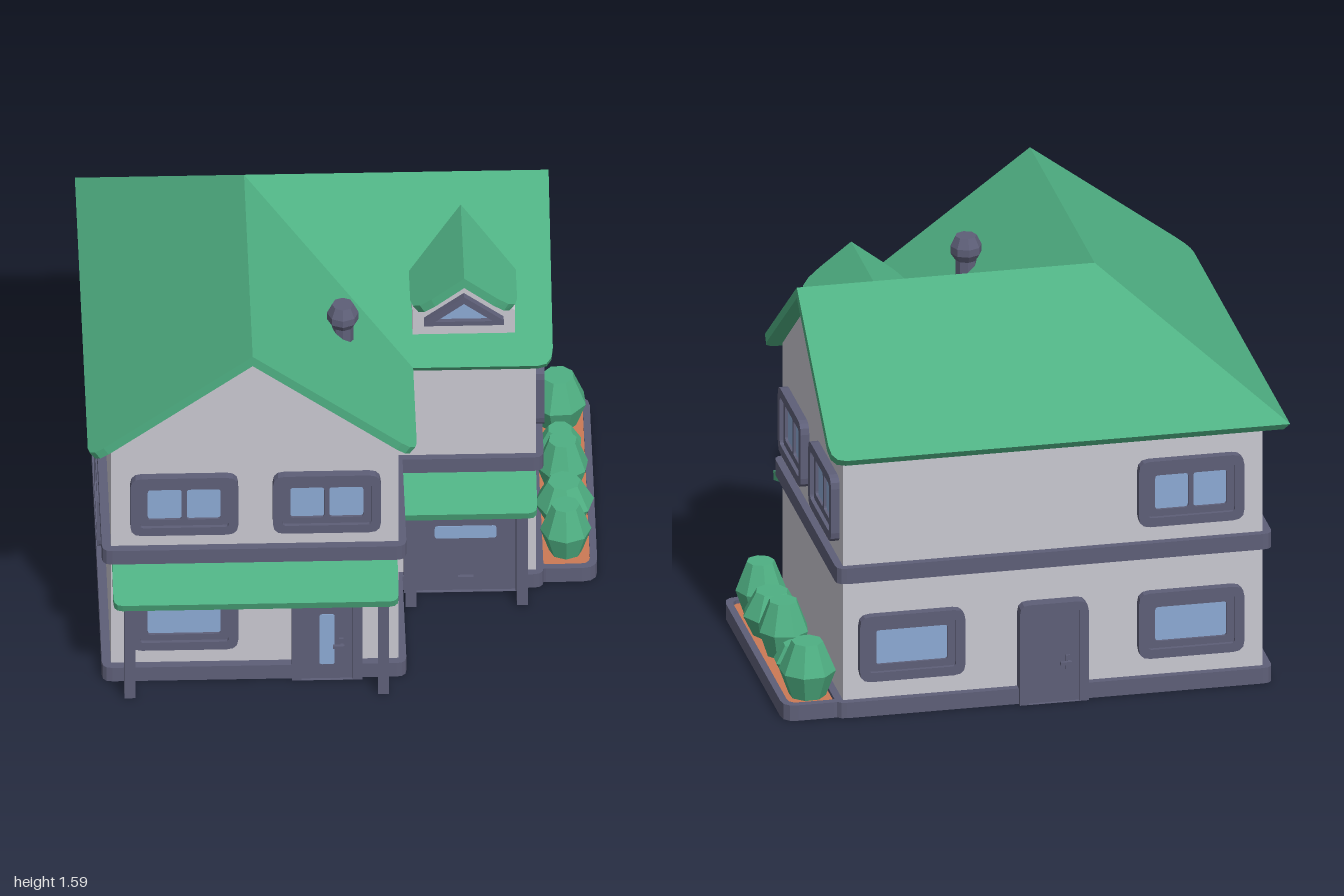
import * as THREE from 'three';

const mat = (name, color) => Object.assign(new THREE.MeshStandardMaterial({ color }), { name });

// Round the corners of a polygon given as [x, y, radius]
function rounded(pts, steps = 3) {
  const out = [];
  pts.forEach(([x, y, r = 0], i) => {
    const c = new THREE.Vector2(x, y);
    if (!r) return out.push(c);
    const toward = (q) => new THREE.Vector2(q[0], q[1]).sub(c).setLength(r).add(c);
    const a = toward(pts[(i + pts.length - 1) % pts.length]);
    const b = toward(pts[(i + 1) % pts.length]);
    out.push(...new THREE.QuadraticBezierCurve(a, c, b).getPoints(steps));
  });
  return out;
}

const rect = (x0, y0, x1, y1, r = 0, top = r) => [[x0, y0, r], [x1, y0, r], [x1, y1, top], [x0, y1, top]];
const box = (w, h, r = 0) => rect(-w / 2, -h / 2, w / 2, h / 2, r);

// Flat plate facing +z
function plate(pts, depth, holes = []) {
  const shape = new THREE.Shape(rounded(pts));
  shape.holes = holes.map((h) => new THREE.Path(rounded(h)));
  return new THREE.ExtrudeGeometry(shape, { depth, bevelEnabled: false });
}

// Horizontal slab with a plan outline in [x, z, radius]
const floorSlab = (pts, y0, y1, holes) =>
  plate(pts, y1 - y0, holes).rotateX(Math.PI / 2).translate(0, y1, 0);

// Sloped roof panel: plan outline falls away from the ridge along dir
function roofPanel(plan, dir, ridge, yRidge, slope, t = 0.036) {
  let pts = rounded(plan);
  if (!THREE.ShapeUtils.isClockWise(pts)) pts = pts.reverse();
  const len = Math.hypot(1, slope), k = t * slope / len;
  const drop = (p) => (p.x - ridge[0]) * dir[0] + (p.y - ridge[1]) * dir[1];
  const dMax = Math.max(...pts.map(drop));
  const top = pts.map((p) => [p.x, yRidge - slope * drop(p), p.y]);
  const bottom = pts.map((p) => {
    const d = drop(p), s = k * d / dMax, dx = p.x - ridge[0], dz = p.y - ridge[1];
    const mitre = Math.abs(Math.abs(dx) - Math.abs(dz)) < 0.002;
    return [
      p.x - s * (mitre ? Math.sign(dx) : dir[0]),
      yRidge - slope * (d - s) - t * len,
      p.y - s * (mitre ? Math.sign(dz) : dir[1]),
    ];
  });
  const v = [], n = pts.length;
  for (let i = 1; i < n - 1; i++) {
    v.push(...top[0], ...top[i], ...top[i + 1], ...bottom[0], ...bottom[i + 1], ...bottom[i]);
  }
  for (let i = 0; i < n; i++) {
    const j = (i + 1) % n;
    v.push(...top[i], ...bottom[i], ...top[j], ...top[j], ...bottom[i], ...bottom[j]);
  }
  const g = new THREE.BufferGeometry();
  g.setAttribute('position', new THREE.Float32BufferAttribute(v, 3));
  g.computeVertexNormals();
  return g;
}

function turned(profile, sides) {
  const g = new THREE.LatheGeometry(profile.map((p) => new THREE.Vector2(...p)), sides).toNonIndexed();
  g.computeVertexNormals();
  return g;
}

export function createModel() {
  const house = new THREE.Group();
  house.name = 'house';
  const wall = mat('wall plaster', 0xc9c8d1), trim = mat('dark trim', 0x5e5f78);
  const green = mat('roof green', 0x4fb083), glass = mat('window glass', 0x8caad4);
  const soil = mat('soil', 0xcc7a55);

  const add = (parent, name, geometry, material, x = 0, y = 0, z = 0) => {
    const m = new THREE.Mesh(geometry, material);
    m.name = name;
    m.position.set(x, y, z);
    parent.add(m);
    return m;
  };

  // Walls: two gabled wings and the back corner
  add(house, 'frontWing', plate([[-0.91, 0.03], [0.21, 0.03], [0.21, 1.11], [-0.36, 1.54], [-0.91, 1.125]], 1.12), wall, 0, 0, -0.35);
  const side = plate([[-0.21, 0.03], [0.9, 0.03], [0.9, 1.125], [0.35, 1.54], [-0.21, 1.118]], 1.12).rotateY(Math.PI / 2);
  add(house, 'sideWing', side, wall, -0.36, 0, 0);
  add(house, 'backCorner', new THREE.BoxGeometry(0.56, 1.09, 0.56), wall, -0.63, 0.575, -0.62);

  // Plinth and storey band share one L outline
  const ell = [[-0.945, -0.93, 0.04], [0.79, -0.93, 0.04], [0.79, 0.24, 0.04], [0.24, 0.24], [0.24, 0.805, 0.04], [-0.945, 0.805, 0.04]];
  add(house, 'plinth', floorSlab(ell, 0, 0.065), trim);
  add(house, 'storeyBand', floorSlab(ell, 0.565, 0.63), trim);

  // Main roof: four panels meeting at two ridges, a hip and a valley
  const R = [-0.36, -0.35], c = 0.06;
  const panels = [
    [[[-1, -0.99], [-1, 0.84, c], [-0.36, 0.84], R], [-1, 0]],
    [[[-1, -0.99], [0.825, -0.99, c], [0.825, -0.35], R], [0, -1]],
    [[R, [-0.36, 0.84], [0.28, 0.84, c], [0.28, 0.29]], [1, 0]],
    [[R, [0.28, 0.29], [0.825, 0.29, c], [0.825, -0.35]], [0, 1]],
  ];
  panels.forEach(([plan, dir]) => add(house, 'roofPanel', roofPanel(plan, dir, R, 1.585, 0.742), green));

  // Dormer
  const dormer = new THREE.Group();
  dormer.name = 'dormer';
  house.add(dormer);
  for (const s of [-1, 1]) {
    const plan = [[0.48, -0.24], [0.48, 0.245], [0.48 + s * 0.208, 0.245, 0.08], [0.48 + s * 0.208, -0.032]];
    add(dormer, 'dormerRoof', roofPanel(plan, [s, 0], [0.48, -0.24], 1.505, 0.77), green);
  }
  add(dormer, 'dormerWall', plate([[-0.2, 1.15], [0.2, 1.15], [0.2, 1.3], [0, 1.455], [-0.2, 1.3]], 0.38), wall, 0.48, 0, -0.2);
  const tri = (w, y0, y1, r = 0) => [[-w, y0, r], [w, y0, r], [0, y1, r]];
  add(dormer, 'dormerFrame', plate([[-0.155, 1.25], [0.155, 1.25], [0.155, 1.272], [0, 1.388], [-0.155, 1.272]], 0.03, [tri(0.112, 1.27, 1.355)]), trim, 0.48, 0, 0.178);
  add(dormer, 'dormerGlass', plate(tri(0.115, 1.268, 1.357), 0.008), glass, 0.48, 0, 0.18);

  // Chimney
  add(house, 'chimney', turned([[0.042, 1.25], [0.042, 1.355], [0.062, 1.385], [0.062, 1.415], [0.042, 1.455], [0, 1.455]], 8), trim, 0.005, 0, 0.33);

  // Porches
  const porch = (x0, x1, z, posts, postZ) => {
    const plan = [[x0, z - 0.01], [x1, z - 0.01], [x1, z + 0.21, 0.035], [x0, z + 0.21, 0.035]];
    add(house, 'porchRoof', roofPanel(plan, [0, 1], [9, z], 0.565, 0.34), green);
    posts.forEach((x) => add(house, 'porchPost', new THREE.BoxGeometry(0.042, 0.48, 0.045), trim, x, 0.24, postZ));
  };
  porch(-0.905, 0.205, 0.77, [-0.84, 0.147], 0.895);
  porch(0.205, 0.76, 0.21, [0.27, 0.703], 0.33);

  // Wall fittings, each built facing +z and turned onto its wall
  const fit = (name, x, y, z, turn) => {
    const g = new THREE.Group();
    g.name = name;
    g.position.set(x, y, z);
    g.rotation.y = turn * Math.PI / 2;
    house.add(g);
    return g;
  };
  const windowAt = (x, y, z, turn, panes) => {
    const g = fit('window', x, y, z, turn);
    add(g, 'windowFrame', plate(box(0.42, 0.275, 0.045), 0.035, [box(0.345, 0.2, 0.015)]), trim);
    const w = panes === 2 ? 0.132 : 0.284;
    const xs = panes === 2 ? [-0.076, 0.076] : [0];
    const openings = xs.map((cx) => rect(cx - w / 2, -0.072, cx + w / 2, 0.072, 0.012));
    add(g, 'windowSash', plate(box(0.35, 0.205), 0.02, openings), trim);
    xs.forEach((cx) => add(g, 'windowPane', plate(box(w + 0.006, 0.15), 0.008), glass, cx, 0, 0.001));
  };
  const HI = 0.838, LO = 0.283;
  windowAt(-0.625, HI, 0.77, 0, 2);
  windowAt(-0.07, HI, 0.77, 0, 2);
  windowAt(-0.625, LO, 0.77, 0, 1);
  windowAt(0.76, HI, -0.07, 1, 2);
  windowAt(0.76, HI, -0.63, 1, 2);
  windowAt(-0.62, HI, -0.9, 2, 2);
  windowAt(-0.62, LO, -0.9, 2, 1);
  windowAt(0.49, LO, -0.9, 2, 1);
  windowAt(-0.91, HI, -0.07, 3, 2);
  windowAt(-0.91, LO, -0.07, 3, 1);

  const doorAt = (x, z, turn, glazed) => {
    const g = fit('door', x, 0, z, turn);
    const opening = rect(-0.1, 0.001, 0.1, 0.383);
    add(g, 'doorFrame', plate(rect(-0.137, 0, 0.137, 0.42, 0, 0.04), 0.05, [opening]), trim);
    add(g, 'doorLeaf', plate(opening, 0.038), trim);
    if (glazed) add(g, 'doorGlass', plate(rect(-0.03, 0.07, 0.03, 0.31, 0.012), 0.004), glass, 0, 0, 0.037);
    add(g, 'handlePlate', new THREE.BoxGeometry(0.018, 0.06, 0.01), trim, 0.055, 0.165, 0.042);
    add(g, 'handleLever', new THREE.BoxGeometry(0.045, 0.012, 0.012), trim, 0.045, 0.168, 0.06);
    add(g, 'handleStem', new THREE.BoxGeometry(0.012, 0.012, 0.022), trim, 0.058, 0.168, 0.052);
  };
  doorAt(-0.07, 0.77, 0, true);
  doorAt(-0.07, -0.9, 2, false);

  // Garage door
  const garage = fit('garage', 0.485, 0, 0.21, 0);
  const bay = rect(-0.195, 0.001, 0.195, 0.383);
  add(garage, 'garageFrame', plate(rect(-0.24, 0, 0.24, 0.42, 0, 0.04), 0.05, [bay]), trim);
  add(garage, 'garageLeaf', plate(bay, 0.036), trim);
  add(garage, 'garageGlass', plate(rect(-0.12, 0.252, 0.12, 0.31, 0.012), 0.004), glass, 0, 0, 0.035);
  add(garage, 'garageHandle', new THREE.BoxGeometry(0.06, 0.016, 0.02), trim, 0, 0.065, 0.042);

  // Planter with a row of bushes
  add(house, 'planterRim', floorSlab(rect(0.74, -0.915, 1, 0.205, 0.06), 0, 0.065, [rect(0.765, -0.885, 0.972, 0.175, 0.04)]), trim);
  add(house, 'planterFloor', floorSlab(rect(0.75, -0.9, 0.99, 0.19, 0.05), 0, 0.03), trim);
  add(house, 'soil', floorSlab(rect(0.75, -0.89, 0.98, 0.18, 0.04), 0.03, 0.05), soil);
  const bushes = [[0.88, 0.063, 0.1, 0.27], [0.88, -0.145, 0.117, 0.23], [0.88, -0.355, 0.102, 0.275], [0.875, -0.56, 0.088, 0.175], [0.875, -0.775, 0.112, 0.275]];
  bushes.forEach(([x, z, r, top], i) => {
    const h = top - 0.05;
    const bush = add(house, 'bush', turned([[0, 0], [r * 0.65, 0], [r, h * 0.47], [r * 0.55, h], [0, h]], 8), green, x, 0.05, z);
    bush.rotation.y = i * 0.9;
  });

  return house;
}
